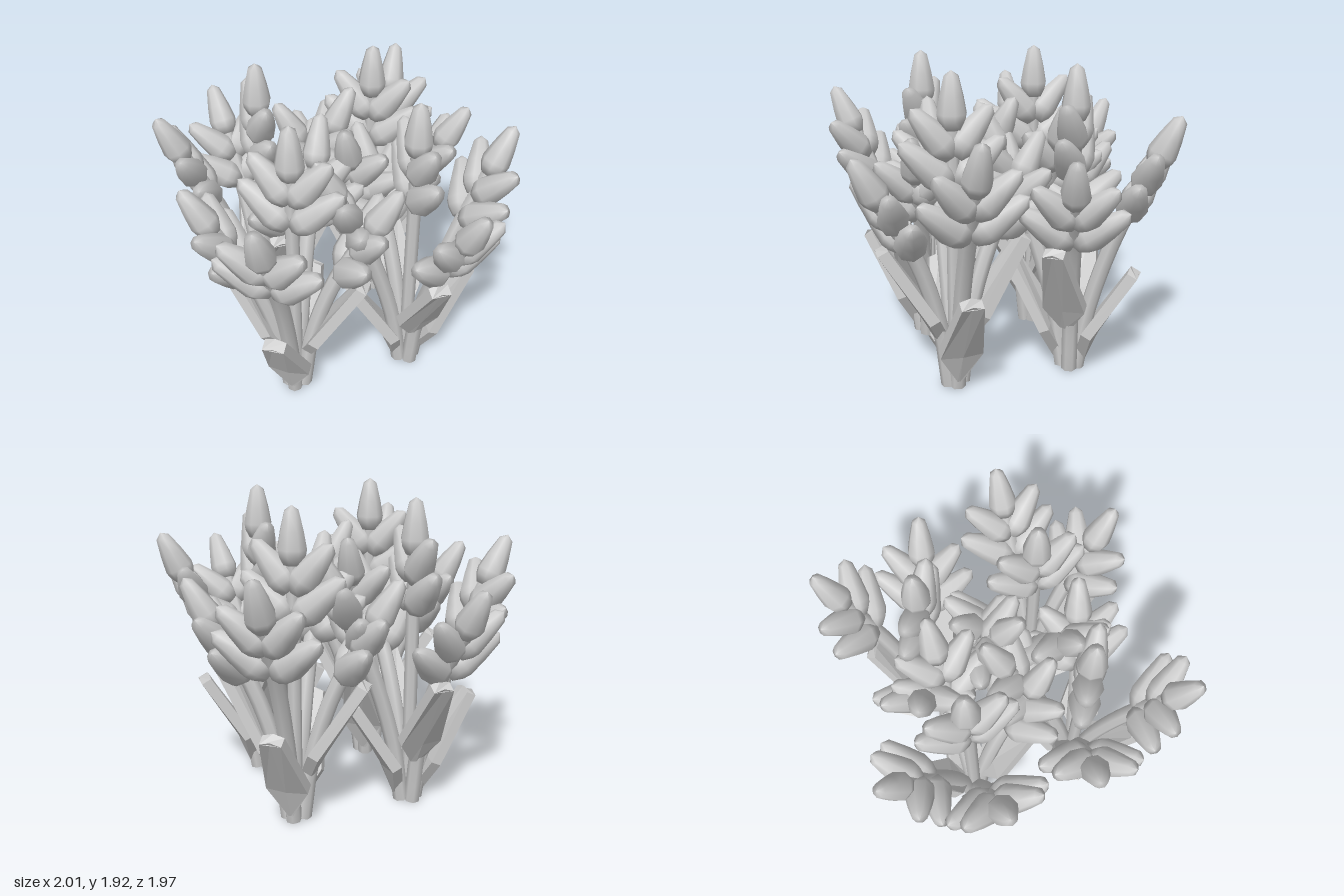
import * as THREE from 'three';

const material = new THREE.MeshStandardMaterial({ color: 0xcccccc });
const leafMaterial = new THREE.MeshStandardMaterial({ color: 0xcccccc, flatShading: true });
const rad = THREE.MathUtils.degToRad;
const UP = new THREE.Vector3(0, 1, 0);

// Blunt, tapering bud standing on its narrow base, 0.33 long
const budGeometry = new THREE.LatheGeometry(
  [[0, 0], [0.055, 0], [0.08, 0.05], [0.087, 0.09], [0.069, 0.19], [0.042, 0.3], [0, 0.33]]
    .map(([r, y]) => new THREE.Vector2(r, y)), 8);

function addBud(parent, name, base, direction, girth = 1, length = 1) {
  const bud = new THREE.Mesh(budGeometry, material);
  bud.name = name;
  bud.position.copy(base);
  bud.quaternion.setFromUnitVectors(UP, direction.clone().normalize());
  bud.scale.set(girth, length, girth);
  parent.add(bud);
}

// Stem from [radius, height] points, with an end bud and two pairs of side buds
function createStem(name, angle, thickness, path) {
  const stem = new THREE.Group();
  stem.name = name;
  const out = new THREE.Vector3(Math.cos(angle), 0, Math.sin(angle));
  const side = new THREE.Vector3(-Math.sin(angle), 0, Math.cos(angle));
  const points = path.map(([r, y]) => out.clone().multiplyScalar(r).setY(y));
  const curve = new THREE.CatmullRomCurve3(points);
  const stalk = new THREE.Mesh(new THREE.TubeGeometry(curve, 10, thickness, 7), material);
  stalk.name = 'stalk';
  stem.add(stalk);

  const end = points[points.length - 1];
  const along = curve.getTangent(1);
  addBud(stem, 'endBud', end, along);
  for (const s of [-1, 1]) {
    for (const [budName, drop, offset, lean, rise, girth, length] of [
      ['upperSideBud', -0.15, 0.01, 0.63, 0.78, 1.06, 1.08],
      ['lowerSideBud', -0.32, 0.02, 0.74, 0.67, 1.12, 1.17],
    ]) {
      const base = end.clone().addScaledVector(along, drop).addScaledVector(side, s * offset);
      const direction = along.clone().multiplyScalar(rise).addScaledVector(side, s * lean);
      addBud(stem, budName, base, direction, girth, length);
    }
  }
  return stem;
}

// Slab-like leaf, slightly keeled, lofted through rows of [radius, height, half width, keel]
function leafGeometry(rows) {
  const thick = 0.06, lift = 0.03;
  const rings = rows.map(([r, y, w, keel], j) => {
    const peak = j === rows.length - 1 ? 0.02 : 0;
    const outer = [[-w, y, r - keel], [0, y + peak, r], [w, y, r - keel]];
    const inner = outer.map(([x, h, z]) => [x, h + lift, z - thick]).reverse();
    return [...outer, ...inner];
  });
  const position = [];
  const tri = (...corners) => corners.forEach((p) => position.push(...p));
  for (let j = 0; j < rings.length - 1; j++) {
    for (let i = 0; i < 6; i++) {
      const k = (i + 1) % 6, a = rings[j], b = rings[j + 1];
      tri(a[i], a[k], b[k]);
      tri(a[i], b[k], b[i]);
    }
  }
  const bottom = rings[0], top = rings[rings.length - 1];
  for (let i = 1; i < 5; i++) {
    tri(top[0], top[i], top[i + 1]);
    tri(bottom[0], bottom[i + 1], bottom[i]);
  }
  const geometry = new THREE.BufferGeometry();
  geometry.setAttribute('position', new THREE.Float32BufferAttribute(position, 3));
  geometry.computeVertexNormals();
  return geometry;
}

const lowLeaf = leafGeometry([[0.1, 0.05, 0.015, 0], [0.18, 0.25, 0.13, 0.02], [0.42, 0.66, 0.065, 0.005]]);
const tallLeaf = leafGeometry([[0.12, 0.3, 0.035, 0.01], [0.2, 0.45, 0.13, 0.02], [0.46, 0.89, 0.06, 0.005]]);

function createClump() {
  const clump = new THREE.Group();
  clump.add(createStem('centreStem', 0, 0.042, [[0, 0], [0, 0.8], [0, 1.58]]));
  for (const turn of [0, 180]) {
    clump.add(createStem('tallSideStem', rad(turn), 0.05,
      [[0.045, 0], [0.11, 0.4], [0.27, 0.92], [0.47, 1.35]]));
    clump.add(createStem('shortSideStem', rad(turn + 75), 0.05,
      [[0.045, 0], [0.1, 0.4], [0.25, 0.86], [0.45, 1.21]]));
    for (const [name, geometry, angle] of [['lowLeaf', lowLeaf, turn], ['tallLeaf', tallLeaf, turn + 90]]) {
      const leaf = new THREE.Mesh(geometry, leafMaterial);
      leaf.name = name;
      leaf.rotation.y = rad(90 - angle);
      clump.add(leaf);
    }
  }
  return clump;
}

export function createModel() {
  const model = new THREE.Group();
  model.name = 'flowerBed';
  // Four clumps in a square, alternately turned
  for (const [name, x, z, turn] of [
    ['frontLeftClump', 0.37, 0.37, 0],
    ['frontRightClump', -0.38, 0.37, 124],
    ['backRightClump', -0.37, -0.37, 180],
    ['backLeftClump', 0.37, -0.37, 306],
  ]) {
    const clump = createClump();
    clump.name = name;
    clump.position.set(x, 0, z);
    clump.rotation.y = -rad(turn);
    model.add(clump);
  }
  return model;
}
